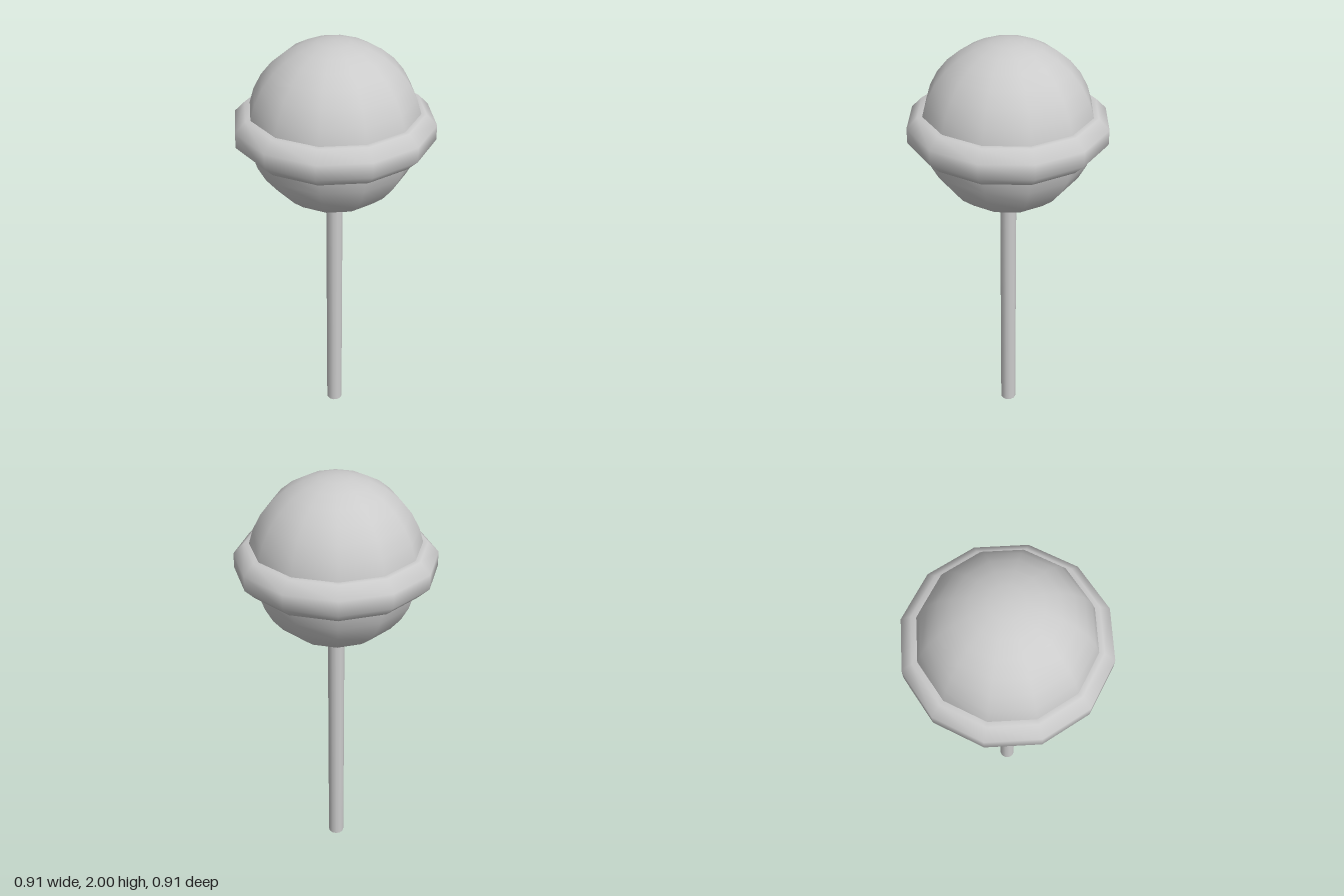
import * as THREE from 'three';

const SIDES = 12;

export function createModel() {
  const model = new THREE.Group();
  const material = new THREE.MeshStandardMaterial({ color: 0xcccccc });
  const add = (name, geometry, y) => {
    const mesh = new THREE.Mesh(geometry, material);
    mesh.name = name;
    mesh.position.y = y;
    model.add(mesh);
  };
  const centreY = 1.607;

  // Round candy head
  add('candyBall', new THREE.SphereGeometry(0.393, SIDES, 16), centreY);

  // Raised band: an eight-sided section swept around the ball
  const section = [];
  for (let i = 0; i <= 8; i++) {
    const a = Math.PI + (i + 0.5) * Math.PI / 4;
    section.push(new THREE.Vector2(0.372 + 0.09 * Math.cos(a), 0.09 * Math.sin(a)));
  }
  add('candyBand', new THREE.LatheGeometry(section, SIDES), centreY);

  // Stick, running up into the ball
  add('stick', new THREE.CylinderGeometry(0.039, 0.039, 1.3, SIDES), 0.65);

  return model;
}
